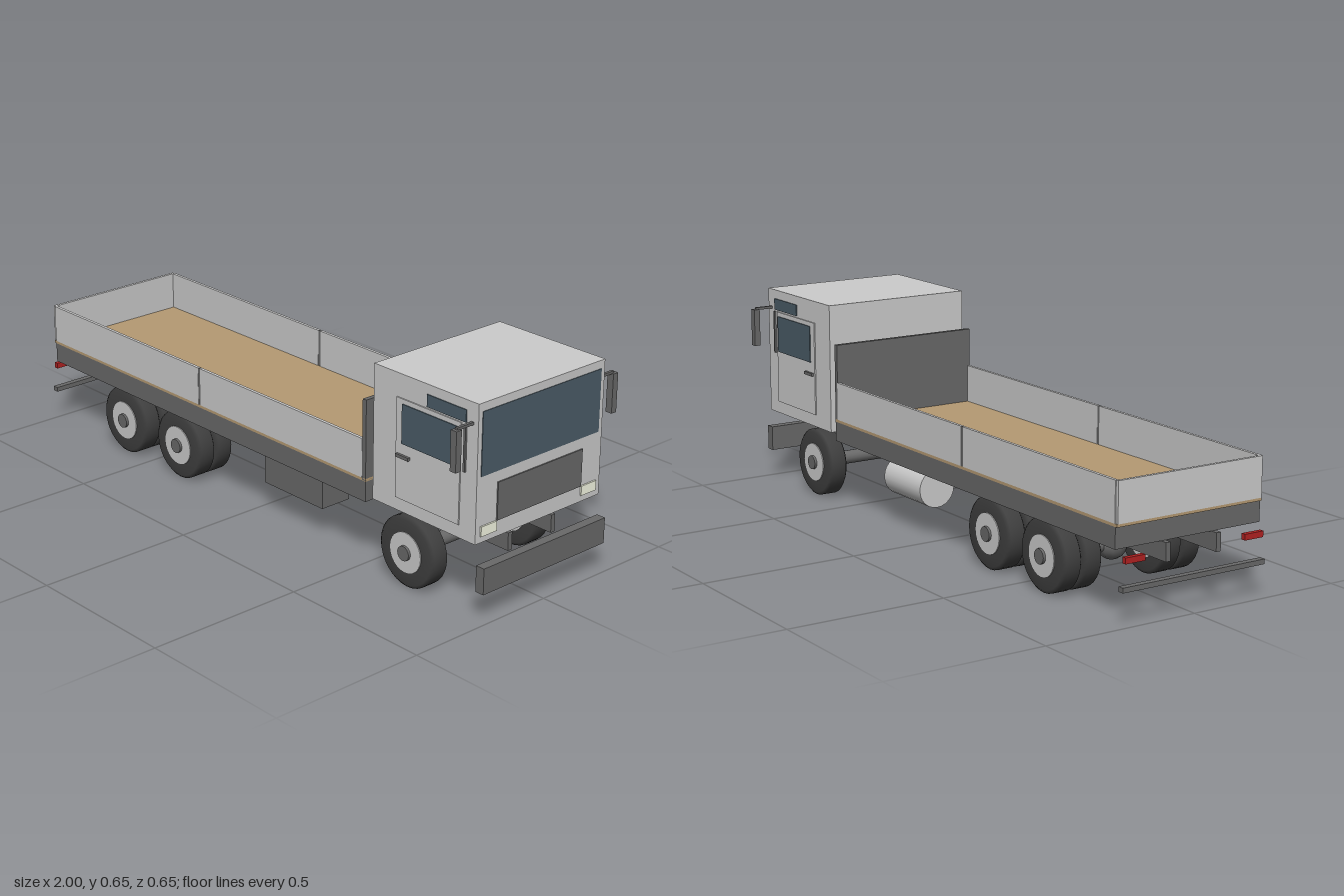
import * as THREE from 'three';

const mat = (color) => new THREE.MeshStandardMaterial({ color });
const grey = mat(0xcccccc), dark = mat(0x696969), tyreMat = mat(0x3f3f3f);
const glass = mat(0x4b5c67), wood = mat(0xb59a73), lamp = mat(0xf6f8e4), red = mat(0xb02222);

export function createModel() {
  const truck = new THREE.Group();
  truck.name = 'flatbedTruck';

  const add = (name, geo, material, x = 0, y = 0, z = 0, parent = truck) => {
    const m = new THREE.Mesh(geo, material);
    m.name = name;
    m.position.set(x, y, z);
    parent.add(m);
    return m;
  };
  // Box given by its extents along each axis
  const box = (name, material, x0, x1, y0, y1, z0, z1) =>
    add(name, new THREE.BoxGeometry(x1 - x0, y1 - y0, z1 - z0), material,
      (x0 + x1) / 2, (y0 + y1) / 2, (z0 + z1) / 2);
  // Box repeated on both sides, z measured outwards
  const pair = (name, material, x0, x1, y0, y1, z0, z1) => {
    box(name + 'Left', material, x0, x1, y0, y1, -z1, -z0);
    box(name + 'Right', material, x0, x1, y0, y1, z0, z1);
  };
  // Cylinder along z
  const zCylinder = (r, length, sides = 24) =>
    new THREE.CylinderGeometry(r, r, length, sides).rotateX(Math.PI / 2);

  // Chassis, bumpers and rear lamps
  pair('chassisRail', dark, -0.99, 0.945, 0.16, 0.215, 0.08, 0.096);
  box('frontBumper', dark, 0.97, 1, 0.094, 0.174, -0.248, 0.248);
  box('rearBumperBar', dark, -1, -0.98, 0.1, 0.115, -0.248, 0.248);
  pair('tailLamp', red, -1, -0.985, 0.18, 0.198, 0.174, 0.24);

  // Load bed
  box('bedFrame', dark, -0.968, 0.53, 0.215, 0.278, -0.252, 0.252);
  box('bedFloor', wood, -0.975, 0.53, 0.278, 0.287, -0.252, 0.252);
  box('headboard', dark, 0.515, 0.53, 0.28, 0.53, -0.252, 0.252);
  box('tailboard', grey, -0.977, -0.967, 0.287, 0.408, -0.25, 0.25);
  pair('rearSideBoard', grey, -0.967, -0.222, 0.287, 0.408, 0.243, 0.253);
  pair('frontSideBoard', grey, -0.212, 0.515, 0.287, 0.408, 0.243, 0.253);
  pair('sidePost', dark, -0.222, -0.212, 0.287, 0.408, 0.244, 0.252);

  // Cab front
  box('cab', grey, 0.56, 0.967, 0.236, 0.651, -0.252, 0.252);
  box('windscreen', glass, 0.96, 0.969, 0.435, 0.626, -0.237, 0.237);
  box('grille', dark, 0.96, 0.971, 0.286, 0.401, -0.171, 0.171);
  pair('headlight', lamp, 0.96, 0.972, 0.256, 0.286, 0.172, 0.234);

  // Doors, side windows and mirrors
  pair('door', grey, 0.655, 0.905, 0.276, 0.58, 0.25, 0.256);
  pair('doorWindow', glass, 0.68, 0.895, 0.447, 0.566, 0.25, 0.259);
  pair('upperSideWindow', glass, 0.773, 0.923, 0.585, 0.622, 0.25, 0.255);
  pair('doorHandle', dark, 0.662, 0.712, 0.404, 0.414, 0.255, 0.264);
  pair('grabRail', dark, 0.918, 0.925, 0.44, 0.58, 0.25, 0.258);
  pair('mirrorArm', dark, 0.94, 0.949, 0.586, 0.594, 0.25, 0.314);
  pair('mirror', dark, 0.934, 0.956, 0.467, 0.588, 0.304, 0.324);

  // Tool box and fuel tank
  box('toolBox', dark, 0.04, 0.3, 0.1, 0.203, 0.102, 0.21);
  add('fuelTank', new THREE.CylinderGeometry(0.062, 0.062, 0.21, 24).rotateZ(Math.PI / 2),
    grey, 0.155, 0.151, -0.172);

  // Tyre: rounded tread with an open centre, turned about z
  const tyreGeo = new THREE.LatheGeometry([
    [0.062, -0.032], [0.1, -0.032], [0.11, -0.024], [0.11, 0.024], [0.1, 0.032], [0.062, 0.032],
  ].map(([r, h]) => new THREE.Vector2(r, h)), 32).rotateX(Math.PI / 2);

  const wheel = (name, x, z) => {
    const g = new THREE.Group();
    g.name = name;
    g.position.set(x, 0.11, z);
    add('tyre', tyreGeo, tyreMat, 0, 0, 0, g);
    add('rim', zCylinder(0.063, 0.07), grey, 0, 0, 0, g);
    truck.add(g);
  };

  // Axles carry single front wheels and twin rear wheels
  for (const [label, x, rear] of [['front', 0.69, false], ['middle', -0.34, true], ['rear', -0.615, true]]) {
    add(label + 'Axle', zCylinder(0.022, 0.36, 16), dark, x, 0.11, 0);
    for (const s of [-1, 1]) {
      wheel(label + 'Wheel', x, s * 0.212);
      if (rear) wheel(label + 'InnerWheel', x, s * 0.142);
      add(label + 'Hub', zCylinder(0.023, 0.04, 16), dark, x, 0.11, s * 0.235);
    }
    if (rear) add(label + 'Differential', new THREE.SphereGeometry(0.049, 12, 8), dark, x, 0.11, 0);
  }

  // Drive shafts: long one from the gearbox, short one between the rear axles
  const shaft = (name, x0, y0, x1, y1) => {
    const length = Math.hypot(x1 - x0, y1 - y0);
    const m = add(name, new THREE.CylinderGeometry(0.011, 0.011, length, 12), dark,
      (x0 + x1) / 2, (y0 + y1) / 2, 0);
    m.rotation.z = Math.atan2(y1 - y0, x1 - x0) - Math.PI / 2;
  };
  shaft('driveShaft', -0.34, 0.112, 0.53, 0.153);
  shaft('rearDriveShaft', -0.615, 0.11, -0.34, 0.11);

  return truck;
}
